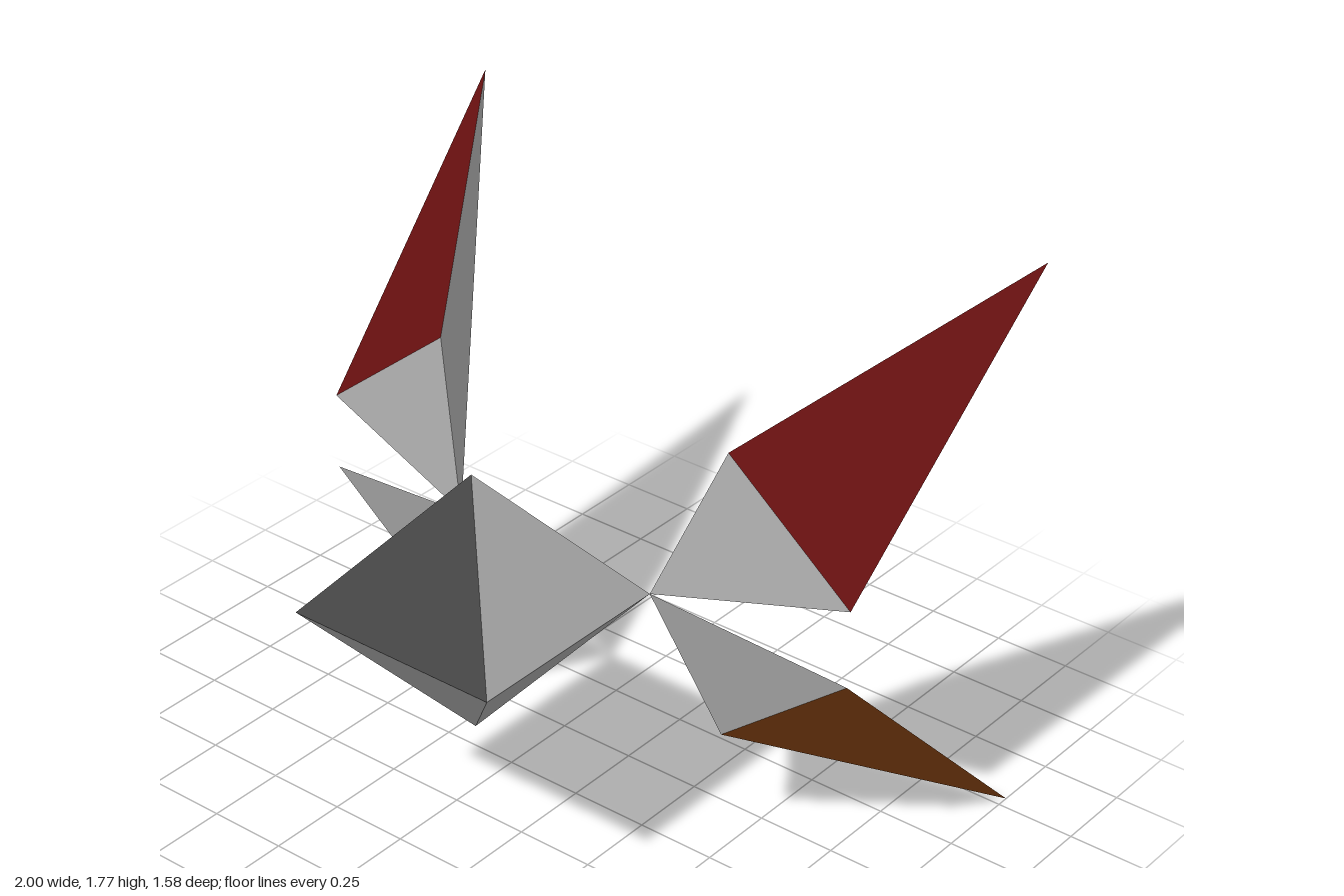
import * as THREE from 'three';

const material = (name, color) => {
  const m = new THREE.MeshStandardMaterial({ color });
  m.name = name;
  return m;
};

// Flat-faced convex solid; each face is [cornerA, cornerB, cornerC, materialIndex],
// turned so that it looks away from the centre.
function facetedSolid(name, corners, faces, materials) {
  const points = corners.map((c) => new THREE.Vector3(...c));
  const centre = points.reduce((sum, p) => sum.add(p), new THREE.Vector3()).divideScalar(points.length);
  const geometry = new THREE.BufferGeometry();
  const ordered = [];
  faces.forEach(([i, j, k, materialIndex], n) => {
    const [a, b, c] = [points[i], points[j], points[k]];
    const normal = b.clone().sub(a).cross(c.clone().sub(a));
    const outward = normal.dot(a.clone().sub(centre)) > 0;
    ordered.push(...(outward ? [a, b, c] : [a, c, b]));
    geometry.addGroup(n * 3, 3, materialIndex);
  });
  geometry.setFromPoints(ordered);
  geometry.computeVertexNormals();
  const mesh = new THREE.Mesh(geometry, materials);
  mesh.name = name;
  return mesh;
}

export function createModel() {
  const model = new THREE.Group();
  model.name = 'wingedCraft';

  const hullGrey = material('hull grey', 0xaaaaaa);
  const windowGrey = material('dark window grey', 0x444444);
  const red = material('dark red', 0x671010);
  const brown = material('brown', 0x8b4513);

  const midY = 0.8875;
  const half = 0.345;
  const bodyZ = 0.443;

  // Body: square double pyramid with a dark upper front face
  const corners = [
    [half, midY, bodyZ + half], [half, midY, bodyZ - half],
    [-half, midY, bodyZ - half], [-half, midY, bodyZ + half],
    [0, midY + 0.41, bodyZ], [0, midY - 0.41, bodyZ],
  ];
  const faces = [];
  for (let i = 0; i < 4; i++) {
    const next = (i + 1) % 4;
    faces.push([i, next, 4, i === 3 ? 1 : 0], [i, next, 5, 0]);
  }
  model.add(facetedSolid('body', corners, faces, [hullGrey, windowGrey]));

  // Wings: four slender tetrahedra, mirrored left/right and up/down
  for (const side of [1, -1]) {
    for (const up of [1, -1]) {
      const at = (x, y, z) => [side * x, midY + up * y, z];
      const wing = [
        at(half, 0, bodyZ - half), // root
        at(0.515, 0.46, -0.02), // inner shoulder
        at(0.935, 0.122, -0.02), // outer shoulder
        at(1, 0.8875, -0.788), // tip
      ];
      const name = `${up > 0 ? 'upper' : 'lower'}${side > 0 ? 'Left' : 'Right'}Wing`;
      model.add(facetedSolid(name, wing,
        [[0, 1, 2, 0], [0, 1, 3, 0], [1, 2, 3, 1], [0, 2, 3, 2]],
        [hullGrey, up > 0 ? red : brown, brown]));
    }
  }
  return model;
}
